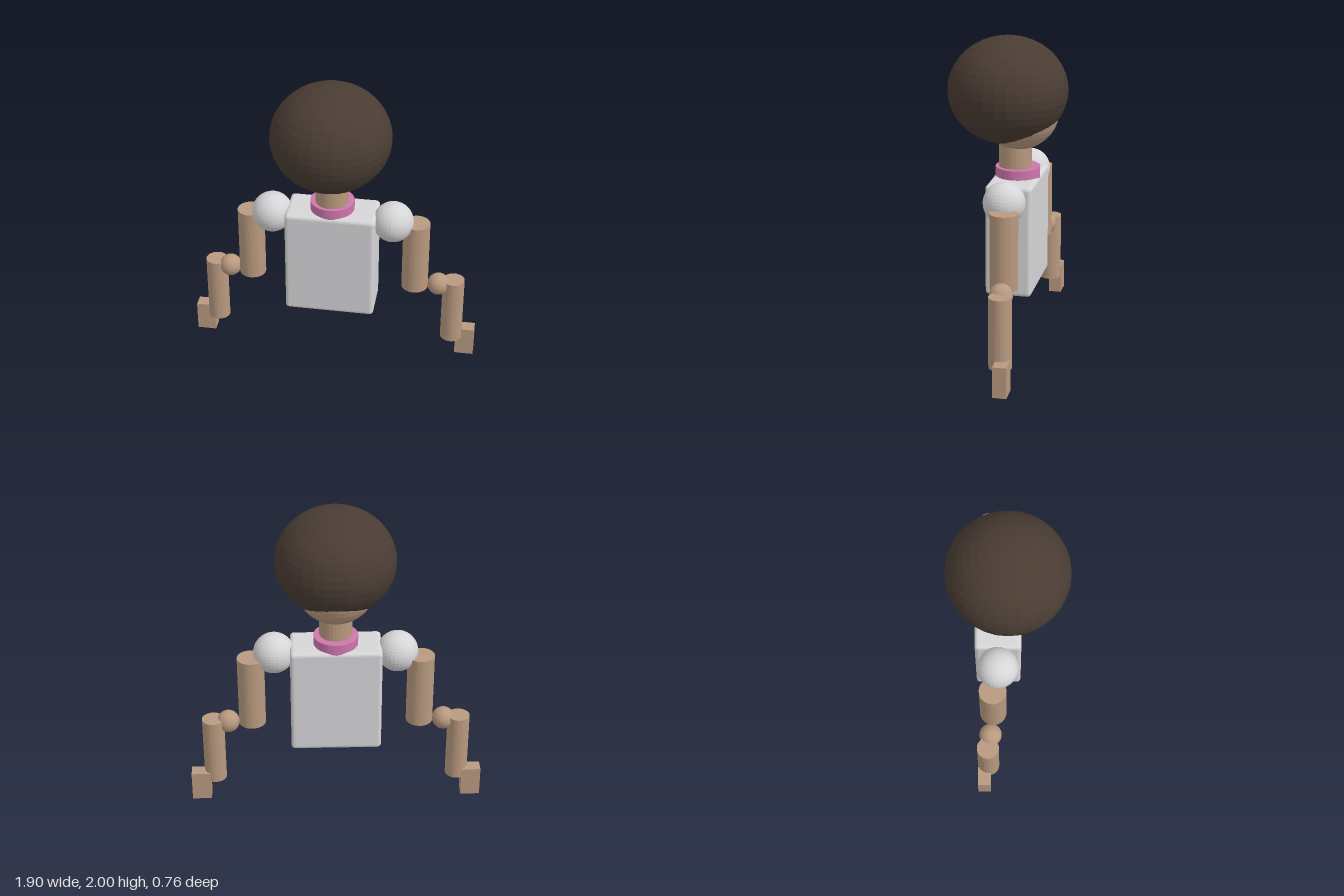
import * as THREE from 'three';
import { RoundedBoxGeometry } from 'three/addons/geometries/RoundedBoxGeometry.js';

const material = (name, color) => {
  const m = new THREE.MeshStandardMaterial({ color, flatShading: true });
  m.name = name;
  return m;
};

export function createModel() {
  const skin = material('skin', 0xb8997f);
  const hair = material('dark brown hair', 0x4a3c33);
  const shirt = material('light grey shirt', 0xd6d6d8);
  const pink = material('pink collar', 0xcf76ab);

  const model = new THREE.Group();
  model.name = 'figure';

  const add = (parent, name, geometry, mat, x, y, z) => {
    const mesh = new THREE.Mesh(geometry, mat);
    mesh.name = name;
    mesh.position.set(x, y, z);
    parent.add(mesh);
    return mesh;
  };
  const ball = (r) => new THREE.SphereGeometry(r, 32, 20);
  const tube = (r, h) => new THREE.CylinderGeometry(r, r, h, 32);

  // Head, with the hair as a wide, slightly flattened ball
  add(model, 'hair', ball(0.38), hair, 0, 1.66, 0).scale.y = 0.34 / 0.38;
  add(model, 'head', ball(0.256), skin, 0, 1.541, -0.073);
  add(model, 'neck', tube(0.105, 0.26), skin, 0, 1.23, -0.05);
  add(model, 'collar', tube(0.142, 0.08), pink, 0, 1.13, -0.065);

  // Torso
  add(model, 'torso', new RoundedBoxGeometry(0.582, 0.722, 0.295, 3, 0.025), shirt, 0, 0.749, -0.063);

  // Arms, mirrored part by part
  for (const [side, s] of [['left', 1], ['right', -1]]) {
    const arm = new THREE.Group();
    arm.name = side + 'Arm';
    add(arm, 'shoulder', ball(0.132), shirt, s * 0.393, 1.042, -0.064);
    add(arm, 'upperArm', tube(0.087, 0.486), skin, s * 0.542, 0.783, -0.096);
    add(arm, 'elbow', ball(0.073), skin, s * 0.698, 0.557, -0.113);
    add(arm, 'forearm', tube(0.072, 0.455), skin, s * 0.796, 0.36, -0.13);
    add(arm, 'hand', new THREE.BoxGeometry(0.125, 0.198, 0.086), skin, s * 0.889, 0.099, -0.158);
    model.add(arm);
  }
  return model;
}
